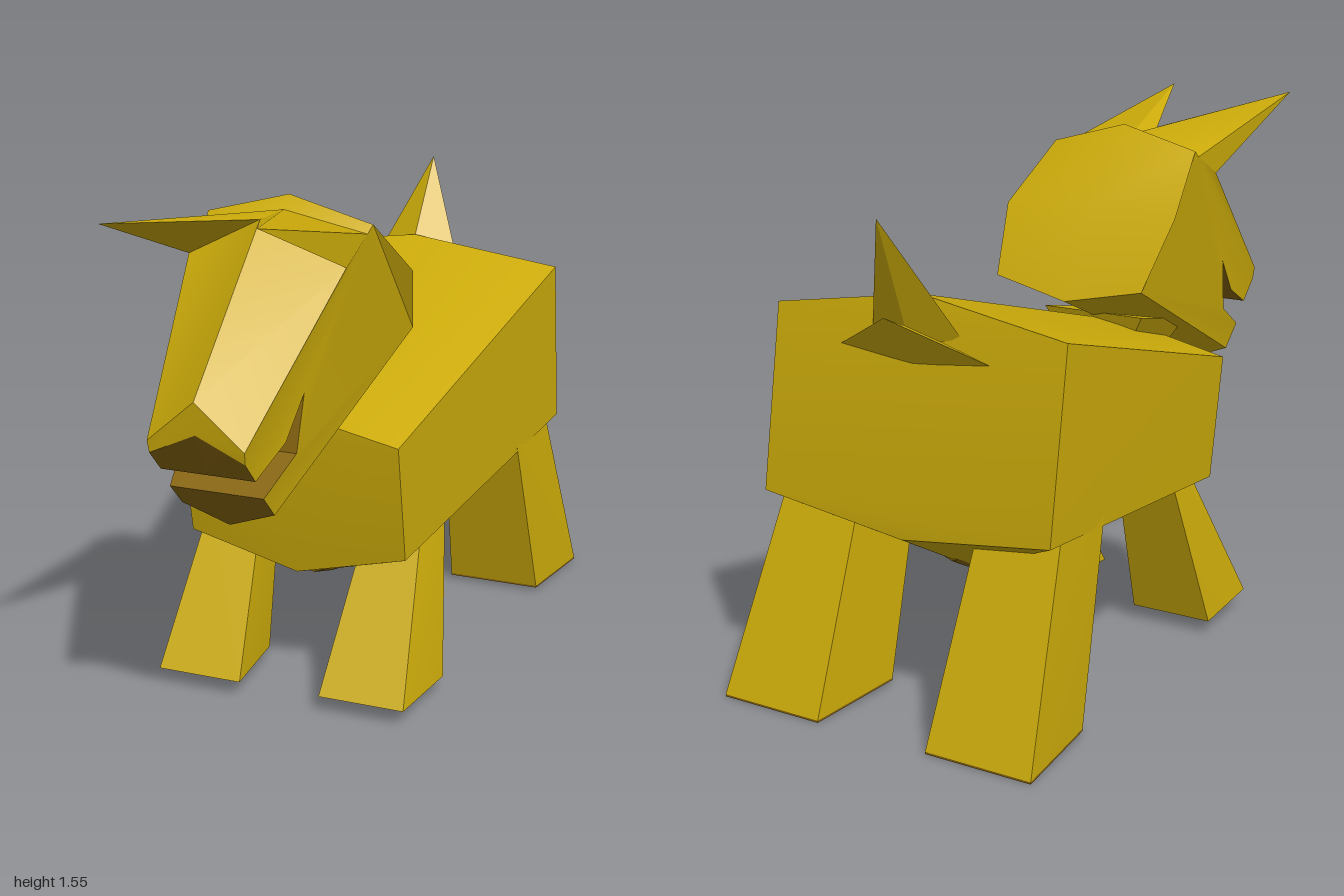
import * as THREE from 'three';
import { ConvexGeometry } from 'three/addons/geometries/ConvexGeometry.js';
import { toCreasedNormals } from 'three/addons/utils/BufferGeometryUtils.js';

export function createModel() {
  const group = new THREE.Group();
  const hide = new THREE.MeshStandardMaterial({ color: 0xccab0a });
  hide.name = 'golden hide';
  const brown = new THREE.MeshStandardMaterial({ color: 0x86640f });
  brown.name = 'dark brown';

  // Soft shading over shallow folds, crisp everywhere else
  const add = (name, geometry, material) => {
    const mesh = new THREE.Mesh(toCreasedNormals(geometry, 0.5), material);
    mesh.name = name;
    group.add(mesh);
  };
  // Faceted solid around a set of corner points
  const solid = (name, points, material = hide) =>
    add(name, new ConvexGeometry(points.map((p) => new THREE.Vector3(...p))), material);
  // Adds the mirror image of every point off the centre plane
  const mirrored = (points) =>
    points.flatMap(([x, y, z]) => (x ? [[x, y, z], [-x, y, z]] : [[x, y, z]]));

  // Torso: narrow chest, wide rump, ridged back and keeled belly
  solid('body', mirrored([
    [0, 0.88, 0.33], [0.335, 0.81, 0.33], [0.335, 0.45, 0.26], [0, 0.365, 0.26],
    [0, 1.16, -0.74], [0.47, 1.09, -0.76], [0.47, 0.57, -0.845], [0, 0.51, -0.845],
    [0, 0.265, -0.02], [0, 0.34, -0.53],
  ]));

  // Brown underside between the legs, just proud of the torso
  solid('belly', mirrored([
    [0.345, 0.463, 0.13], [0, 0.312, 0.13], [0, 0.26, -0.02],
    [0, 0.335, -0.53], [0.43, 0.54, -0.62], [0, 0.382, -0.62],
  ]), brown);

  // Neck wedge between chest and jaw
  solid('neck', mirrored([
    [0, 0.78, 0.47], [0, 0.63, 0.3], [0, 0.66, 0.2],
    [0.17, 0.9, 0.38], [0.17, 0.95, 0.12],
  ]));

  // Legs: slanted blocks, tops sunk into the torso; rear feet have brown soles
  for (const s of [1, -1]) {
    const side = s > 0 ? 'Left' : 'Right';
    const flip = ([x, y, z]) => [x * s, y, z];
    solid('front' + side + 'Leg', [
      [0.335, 0.5, 0.125], [0.17, 0.5, 0.125], [0.36, 0.5, -0.015], [0.17, 0.5, -0.015],
      [0.385, 0.05, 0.405], [0.125, 0.05, 0.405], [0.41, 0.04, 0.125], [0.15, 0.04, 0.125],
    ].map(flip));
    const sole = [
      [0.465, 0.017, -0.68], [0.17, 0.017, -0.68], [0.51, 0.006, -1], [0.18, 0.006, -1],
    ].map(flip);
    solid('rear' + side + 'Leg', [
      ...[
        [0.43, 0.57, -0.515], [0.19, 0.57, -0.515], [0.455, 0.57, -0.77], [0.2, 0.57, -0.77],
      ].map(flip),
      ...sole,
    ]);
    solid('rear' + side + 'Sole', [...sole, ...sole.map(([x, y, z]) => [x, y - 0.006, z])], brown);
  }

  // Head outline, from nape along jaw, mouth, nose and crown:
  // z, y and half width at the side, then z and y on the centre line
  const outline = [
    [-0.02, 1.06, 0.25, -0.04, 1.01],
    [0.73, 0.73, 0.135, 0.72, 0.68],
    [0.8, 0.8, 0.135, 0.8, 0.8],
    [0.65, 0.88, 0.165, 0.65, 0.88],
    [0.62, 1.04, 0.175, 0.62, 1.04],
    [0.71, 0.93, 0.16, 0.71, 0.93],
    [0.85, 0.865, 0.135, 0.85, 0.865],
    [0.912, 0.93, 0.135, 0.92, 0.995],
    [0.92, 0.965, 0.137, 0.925, 1.085],
    [0.46, 1.345, 0.23, 0.5, 1.465],
    [0.33, 1.41, 0.24, 0.34, 1.46],
    [0.3, 1.43, 0.245, 0.3, 1.495],
    [0.1, 1.26, 0.29, 0.09, 1.275],
  ];
  const right = outline.map(([z, y, x]) => [-x, y, z]);
  const left = outline.map(([z, y, x]) => [x, y, z]);
  const centre = outline.map((p) => [0, p[4], p[3]]);
  const headFaces = [];
  const mouthFaces = [];

  // Cheeks
  const contour = outline.map(([z, y]) => new THREE.Vector2(z, y));
  for (const [a, b, c] of THREE.ShapeUtils.triangulateShape(contour, [])) {
    headFaces.push(right[a], right[b], right[c], left[a], left[c], left[b]);
  }
  // Bands running across the head; lip, mouth and nose tip are brown
  outline.forEach((_, i) => {
    const j = (i + 1) % outline.length;
    const faces = i >= 1 && i <= 6 ? mouthFaces : headFaces;
    faces.push(
      right[i], centre[i], centre[j], right[i], centre[j], right[j],
      centre[i], left[i], left[j], centre[i], left[j], centre[j],
    );
  });
  const surface = (corners) => new THREE.BufferGeometry().setAttribute(
    'position', new THREE.Float32BufferAttribute(corners.flat(), 3));
  add('head', surface(headFaces), hide);
  add('mouthAndNose', surface(mouthFaces), brown);

  // Forward-pointing ears, slightly uneven
  const ear = (name, s, tip) => solid(name, [
    tip, [0.23 * s, 1.345, 0.46], [0.24 * s, 1.41, 0.33],
    [0, 1.465, 0.5], [0, 1.46, 0.34],
  ]);
  ear('leftEar', 1, [0.19, 1.55, 0.945]);
  ear('rightEar', -1, [-0.21, 1.54, 1]);

  // Tail: tall upper spike over a short wide one
  solid('upperTail', mirrored([
    [0, 1.385, -0.92], [0.145, 1.06, -0.76], [0, 1.15, -0.74], [0, 1.03, -0.79],
  ]));
  solid('lowerTail', mirrored([
    [0, 1.125, -0.9], [0.25, 1.0, -0.77], [0, 1.07, -0.77], [0, 0.98, -0.78],
  ]));

  return group;
}
